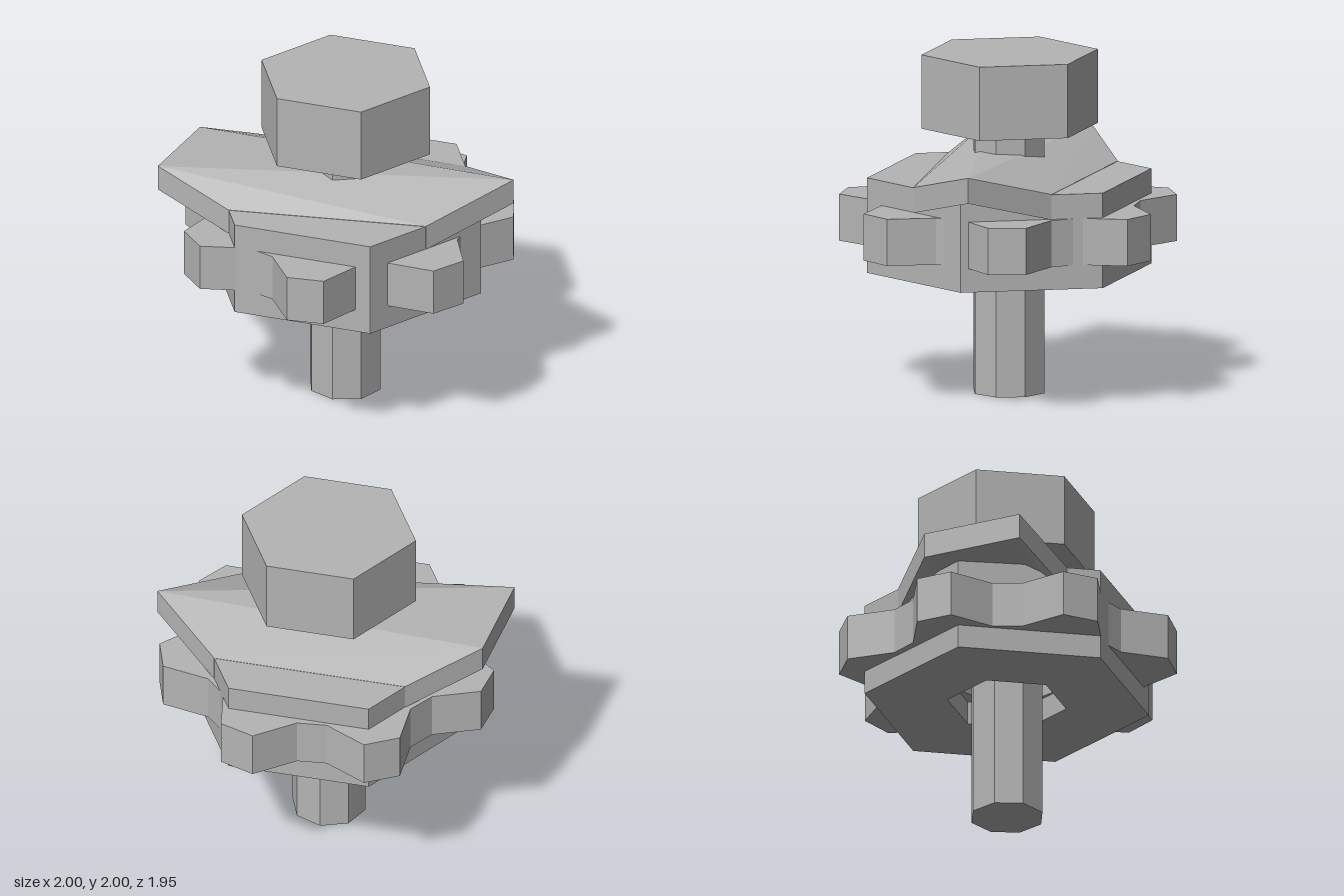
import * as THREE from 'three';

const steel = new THREE.MeshStandardMaterial({ color: 0xb4b4b4, flatShading: true });
steel.name = 'steel';

// Points of a regular polygon, first corner on +x
const ring = (n, r) => Array.from({ length: n }, (_, i) => {
  const a = (i / n) * Math.PI * 2;
  return new THREE.Vector2(r * Math.cos(a), r * Math.sin(a));
});

// Upright prism; outline y becomes z
function prism(name, outline, y0, y1, z, hole) {
  const shape = new THREE.Shape(outline);
  if (hole) shape.holes.push(new THREE.Path(hole));
  const geo = new THREE.ExtrudeGeometry(shape, { depth: y1 - y0, bevelEnabled: false });
  geo.rotateX(Math.PI / 2).translate(0, y1, z);
  const mesh = new THREE.Mesh(geo, steel);
  mesh.name = name;
  return mesh;
}

// Seven tapered teeth around a low root circle
function gearOutline() {
  const pts = [];
  for (let k = 0; k < 7; k++) {
    const mid = 83.5 + (k * 360) / 7;
    for (const [off, r] of [[-19.3, 0.775], [-6.4, 0.985], [6.4, 0.985], [19.3, 0.775]]) {
      const a = THREE.MathUtils.degToRad(mid + off);
      pts.push(new THREE.Vector2(r * Math.cos(a), r * Math.sin(a)));
    }
  }
  return pts;
}

// Bent plate: raised corners at both ends, front and back sloping onto the nut
function bentPlate() {
  const rim = [
    [-1, 1.435, 0.42], [-0.52, 1.287, 0.54], [0.63, 1.287, 0.35], [1, 1.435, -0.12],
    [0.57, 1.287, -0.48], [-0.57, 1.287, -0.48], [-0.96, 1.42, -0.18],
  ];
  const faces = [[0, 1, 2], [0, 2, 3], [0, 3, 6], [6, 3, 4], [6, 4, 5]];
  const low = rim.map(([x, y, z]) => [x, y - 0.15, z]);
  const pos = [];
  for (const [a, b, c] of faces) {
    pos.push(...rim[a], ...rim[b], ...rim[c]);
    pos.push(...low[a], ...low[c], ...low[b]);
  }
  rim.forEach((p, i) => {
    const j = (i + 1) % rim.length;
    pos.push(...p, ...low[i], ...low[j], ...p, ...low[j], ...rim[j]);
  });
  const geo = new THREE.BufferGeometry();
  geo.setAttribute('position', new THREE.Float32BufferAttribute(pos, 3));
  geo.computeVertexNormals();
  const mesh = new THREE.Mesh(geo, steel);
  mesh.name = 'bentPlate';
  return mesh;
}

export function createModel() {
  const model = new THREE.Group();
  model.name = 'boltAssembly';
  model.add(
    prism('boltShaft', ring(8, 0.218), 0, 1.57, -0.013),
    prism('boltHead', ring(6, 0.52), 1.565, 2, -0.018),
    prism('hexNut', ring(6, 0.838), 0.725, 1.285, -0.015, ring(6, 0.35)),
    prism('toothedWasher', gearOutline(), 0.865, 1.14, -0.007, ring(8, 0.3)),
    bentPlate(),
  );
  return model;
}
